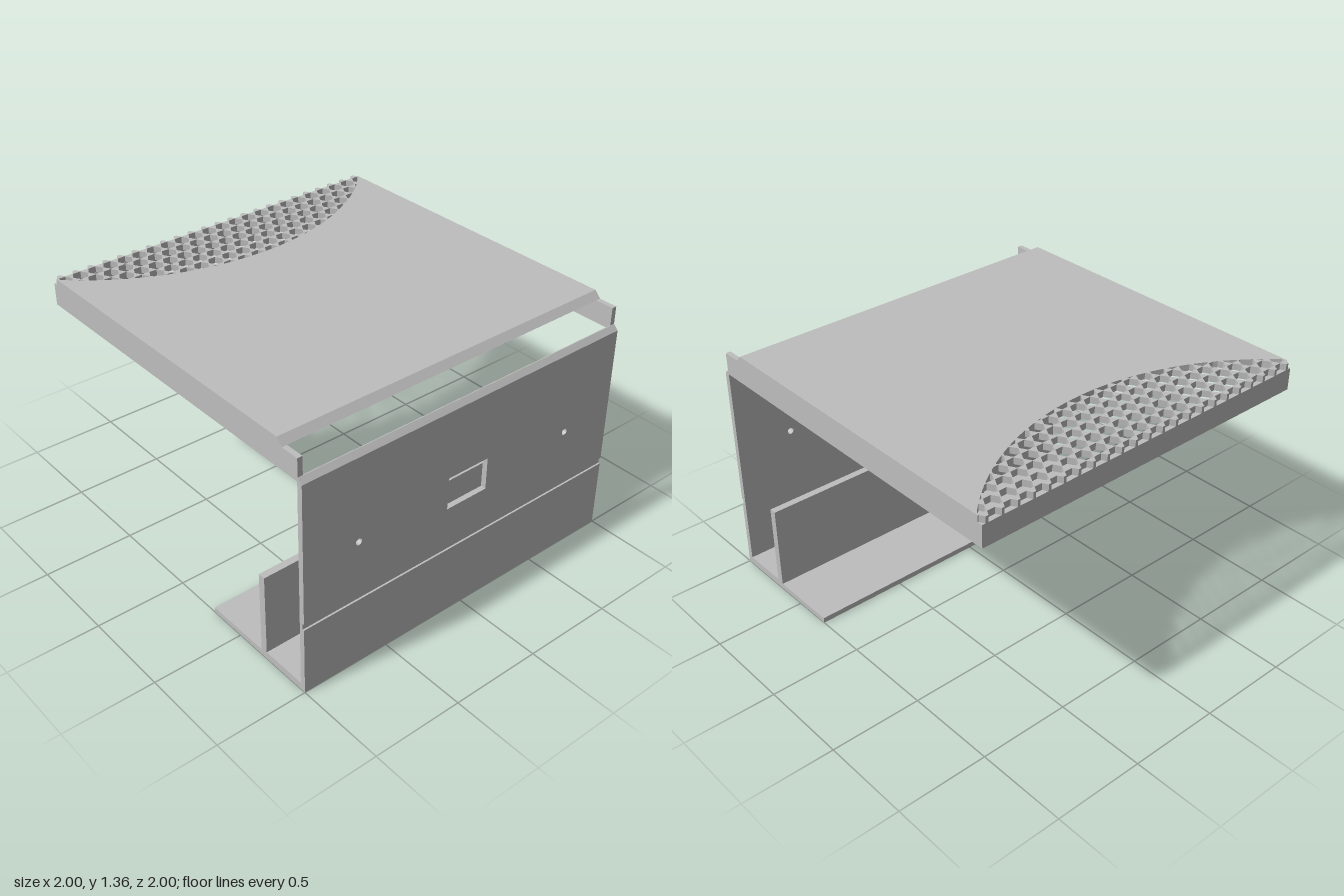
import * as THREE from 'three';

const grey = new THREE.MeshStandardMaterial({ color: 0xbebebe });
grey.name = 'light grey';

const shapeOf = (pts) => new THREE.Shape(pts.map(([a, b]) => new THREE.Vector2(a, b)));
const extrude = (shape, depth) =>
  new THREE.ExtrudeGeometry(shape, { depth, bevelEnabled: false, curveSegments: 10 });

export function createModel() {
  const model = new THREE.Group();
  const add = (name, geometry) => {
    const mesh = new THREE.Mesh(geometry, grey);
    mesh.name = name;
    model.add(mesh);
    return mesh;
  };
  // Extrudes a (z, y) cross-section along x between two positions
  const alongX = (name, pts, x0 = -1, x1 = 1) =>
    add(name, extrude(shapeOf(pts), x1 - x0).rotateY(-Math.PI / 2).translate(x1, 0, 0));

  // Base: floor, upright rib and lower front wall with its groove
  alongX('baseChannel', [
    [0.285, 0], [1, 0], [1, 0.385], [0.99, 0.385], [0.99, 0.42], [0.97, 0.42],
    [0.97, 0.04], [0.71, 0.04], [0.71, 0.5], [0.67, 0.5], [0.67, 0.03], [0.285, 0.03],
  ]);

  // Upper front wall with a window and two screw holes
  const panel = shapeOf([[-1, 0.42], [1, 0.42], [1, 1.195], [-1, 1.195]]);
  panel.holes.push(shapeOf([[-0.13, 0.64], [-0.13, 0.82], [0.125, 0.82], [0.125, 0.64]]));
  for (const x of [-0.68, 0.675]) {
    const hole = new THREE.Path();
    hole.absarc(x, 0.73, 0.018, 0, Math.PI * 2, true);
    panel.holes.push(hole);
  }
  add('frontPanel', extrude(panel, 0.03).translate(0, 0, 0.97));
  alongX('frontPanelBevel', [[0.97, 1.195], [1, 1.195], [0.975, 1.222], [0.97, 1.222]]);

  // Lid walls
  for (const side of [-1, 1]) {
    const x = side < 0 ? -1 : 0.972;
    alongX('lidSideWall', [[-1, 1.2], [0.973, 1.2], [0.973, 1.32], [-1, 1.32]], x, x + 0.028);
  }
  alongX('lidBackWall', [[-1, 1.2], [-0.966, 1.2], [-0.966, 1.32], [-1, 1.32]], -0.972, 0.972);
  alongX('lidFrontBevel', [[0.835, 1.32], [0.87, 1.32], [0.835, 1.355]]);

  // Grille layout: hexagonal openings with triangles left between them.
  // Plate coordinates are (x, -z).
  const pitch = 0.0884, row = pitch * Math.sqrt(3) / 2, r = pitch / 2 * 0.95;
  const firstRow = 0.933, arcY = 1.962, arcR = 1.412;

  // Keeps the part of a convex polygon where nx*x + ny*y <= d
  const clip = (pts, nx, ny, d) => {
    const out = [];
    pts.forEach((p, i) => {
      const q = pts[(i + 1) % pts.length];
      const a = nx * p[0] + ny * p[1] - d, b = nx * q[0] + ny * q[1] - d;
      if (a <= 0) out.push(p);
      if ((a < 0 && b > 0) || (a > 0 && b < 0)) {
        const t = a / (a - b);
        out.push([p[0] + (q[0] - p[0]) * t, p[1] + (q[1] - p[1]) * t]);
      }
    });
    return out;
  };
  const area = (pts) => Math.abs(pts.reduce((s, p, i) => {
    const q = pts[(i + 1) % pts.length];
    return s + p[0] * q[1] - q[0] * p[1];
  }, 0)) / 2;

  // Plate outline, with the cut-off last row of triangles as teeth on the back edge
  const notch = firstRow + row - r * Math.sqrt(3) / 2;
  const halfBase = pitch / 2 - r / 2;
  const halfTip = pitch / 2 - (r - (firstRow + row - 1) / Math.sqrt(3));
  const outline = [[-1, -0.835], [1, -0.835], [1, notch]];
  for (let k = 11; k >= -11; k--) {
    const x = k * pitch;
    outline.push([x + halfBase, notch], [x + halfTip, 1], [x - halfTip, 1], [x - halfBase, notch]);
  }
  outline.push([-1, notch]);
  const plate = shapeOf(outline);

  // Hexagons trimmed to the curved border of the grille
  for (let j = 0; j < 6; j++) {
    for (let k = -12; k <= 12; k++) {
      const cx = (k + (j % 2) / 2) * pitch, cy = firstRow - j * row;
      let hex = [];
      for (let i = 0; i < 6; i++) {
        const a = i * Math.PI / 3;
        hex.push([cx + r * Math.cos(a), cy + r * Math.sin(a)]);
      }
      hex = clip(clip(hex, 1, 0, 0.988), -1, 0, 0.988);
      for (let i = -30; i <= 30 && hex.length > 2; i++) {
        const a = i / 30 * 0.85, nx = Math.sin(a), ny = -Math.cos(a);
        hex = clip(hex, nx, ny, ny * arcY + arcR);
      }
      if (hex.length > 2 && area(hex) > 0.0001) plate.holes.push(shapeOf(hex));
    }
  }
  add('lidTopWithGrille', extrude(plate, 0.035).rotateX(-Math.PI / 2).translate(0, 1.32, 0));

  return model;
}
